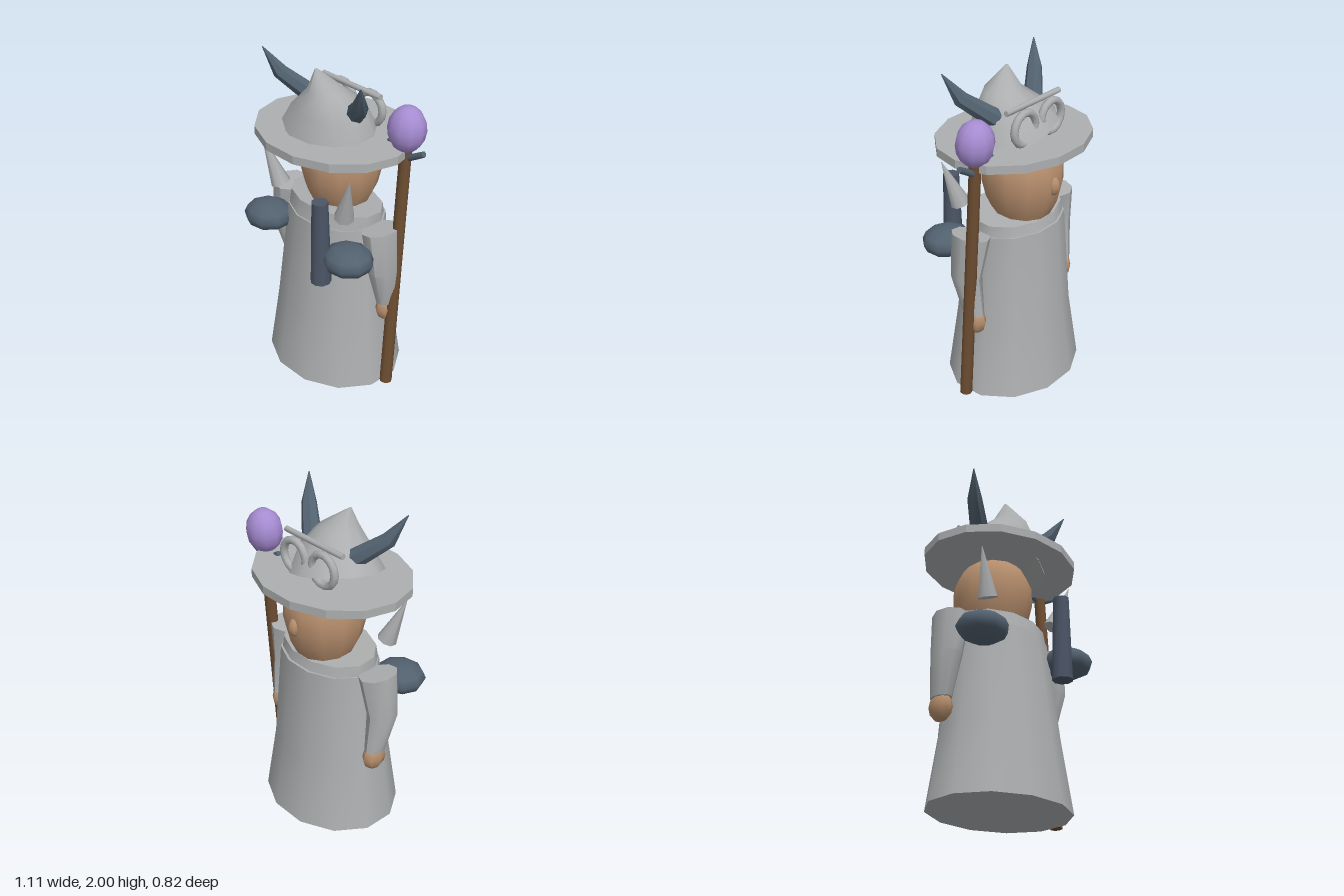
import * as THREE from 'three';
import { toCreasedNormals } from 'three/addons/utils/BufferGeometryUtils.js';

const CX = -0.046; // the figure's own mirror plane

const paint = (name, color) => {
  const m = new THREE.MeshStandardMaterial({ color });
  m.name = name;
  return m;
};

// Skin over elliptical rings { c, rx, rz, n }, closed at both ends.
function loft(rings, sides, crease = 0.8) {
  const pos = [], idx = [];
  const up = new THREE.Vector3(0, 1, 0);
  for (const { c, rx, rz = rx, n = [0, 1, 0] } of rings) {
    const q = new THREE.Quaternion().setFromUnitVectors(up, new THREE.Vector3(...n).normalize());
    for (let i = 0; i < sides; i++) {
      const a = ((i + 0.5) / sides) * Math.PI * 2;
      const p = new THREE.Vector3(rx * Math.sin(a), 0, rz * Math.cos(a)).applyQuaternion(q);
      pos.push(p.x + c[0], p.y + c[1], p.z + c[2]);
    }
  }
  const last = (rings.length - 1) * sides;
  for (let r = 0; r < last; r += sides) {
    for (let i = 0; i < sides; i++) {
      const j = (i + 1) % sides;
      idx.push(r + i, r + j, r + sides + j, r + i, r + sides + j, r + sides + i);
    }
  }
  for (let i = 1; i < sides - 1; i++) {
    idx.push(0, i + 1, i, last, last + i, last + i + 1);
  }
  const g = new THREE.BufferGeometry();
  g.setAttribute('position', new THREE.Float32BufferAttribute(pos, 3));
  g.setIndex(idx);
  return toCreasedNormals(g, crease);
}

// Straight tapered rod between two points.
function rod(a, b, ra, rb, sides) {
  const n = b.map((v, i) => v - a[i]);
  return loft([{ c: a, rx: ra, n }, { c: b, rx: rb, n }], sides, 0.95);
}

export function createModel() {
  const group = new THREE.Group();
  const cloth = paint('grey cloth', 0xacaeaf);
  const skin = paint('skin', 0xb58d6c);
  const slate = paint('slate', 0x52616f);
  const steel = paint('dark steel', 0x4b5566);
  const wood = paint('wood', 0x6e4e32);
  const violet = paint('violet', 0xa68cd2);

  const add = (name, geo, mat, p = [0, 0, 0], s = [1, 1, 1]) => {
    const m = new THREE.Mesh(geo, mat);
    m.name = name;
    m.position.set(...p);
    m.scale.set(...s);
    group.add(m);
    return m;
  };
  const ball = (name, mat, p, s, w = 10, h = 8) =>
    add(name, new THREE.SphereGeometry(1, w, h), mat, p, s);

  // Robe and collar
  add('robe', loft([
    { c: [CX, 0, 0], rx: 0.45, rz: 0.378 },
    { c: [CX, 0.43, 0], rx: 0.385, rz: 0.315 },
    { c: [CX, 1.05, -0.018], rx: 0.33, rz: 0.252 },
  ], 12), cloth);
  add('collar', loft([
    { c: [CX, 1.03, -0.015], rx: 0.327, rz: 0.245 },
    { c: [CX, 1.125, -0.018], rx: 0.322, rz: 0.222, n: [0, 1, -0.08] },
  ], 12), cloth);

  // Head and nose
  const skull = [[1.09, 0.16], [1.13, 0.18], [1.2, 0.212], [1.3, 0.235], [1.42, 0.235], [1.5, 0.195], [1.57, 0.14]];
  add('head', loft(skull.map(([y, r]) => ({ c: [-0.05, y, -0.06], rx: r, rz: r * 1.03 })), 12, 1), skin);
  ball('nose', skin, [-0.05, 1.325, -0.28], [0.038, 0.06, 0.047], 8, 6);

  // Wide brim and leaning crown
  const brim = add('hatBrim', toCreasedNormals(new THREE.CylinderGeometry(1, 1, 0.05, 14), 0.4), cloth,
    [CX, 1.56, 0], [0.42, 1, 0.503]);
  brim.rotation.y = Math.PI / 2;
  add('hatCrown', loft([
    { c: [-0.055, 1.585, 0.02], rx: 0.3, rz: 0.258, n: [0.26, 1, 0.16] },
    { c: [-0.035, 1.73, 0.035], rx: 0.215, rz: 0.195, n: [0.1, 1, 0.08] },
    { c: [-0.027, 1.835, 0.07], rx: 0.117, rz: 0.11, n: [0.05, 1, 0] },
    { c: [-0.09, 1.95, 0.092], rx: 0.008 },
  ], 11), cloth);

  // Goggles resting against the crown
  add('goggleBar', rod([-0.28, 1.8, -0.134], [0.187, 1.8, -0.134], 0.017, 0.017, 8), cloth);
  for (const x of [-0.163, 0.073]) {
    add('goggleRing', new THREE.TorusGeometry(0.092, 0.023, 8, 14), cloth, [x, 1.688, -0.173]);
  }

  // Paired parts, mirrored about the figure's centre
  for (const s of [-1, 1]) {
    const at = (d, y, z) => [CX + s * d, y, z];

    add('horn', loft([
      { c: at(0.17, 1.72, 0.0), rx: 0.06, n: [s * 0.65, 0.6, 0.35] },
      { c: at(0.325, 1.855, 0.115), rx: 0.046, n: [s * 0.55, 0.8, 0.4] },
      { c: at(0.397, 2.0, 0.18), rx: 0.003, n: [s * 0.4, 1, 0.3] },
    ], 7), slate);

    add('shoulderSpike', rod(at(0.274, 1.175, 0.18), at(0.369, 1.455, 0.23), 0.06, 0.002, 8), cloth);

    add('sleeve', loft([
      { c: at(0.417, 0.575, -0.035), rx: 0.052, rz: 0.072 },
      { c: at(0.425, 0.82, 0.01), rx: 0.083, rz: 0.1 },
      { c: at(0.388, 1.075, 0.0), rx: 0.098, rz: 0.125, n: [s * -0.14, 1, 0] },
    ], 9), cloth);

    ball('hand', skin, at(0.415, 0.525, -0.04), [0.055, 0.085, 0.082], 8, 6);

    ball('shoulderPad', slate, at(0.349, 0.945, 0.22), [0.158, 0.088, 0.147], 9, 6);
  }

  // Tube carried at the back
  add('backTube', rod([0.165, 0.77, 0.305], [0.165, 1.3, 0.307], 0.062, 0.048, 9), steel);

  // Staff with orb and two prongs
  add('staff', rod([0.415, 0.002, 0], [0.415, 1.6, -0.108], 0.038, 0.035, 9), wood);
  const orb = ball('staffOrb', violet, [0.415, 1.7, -0.11], [0.113, 0.135, 0.107], 10, 8);
  orb.rotation.x = -0.07;
  for (const s of [-1, 1]) {
    add('staffProng', rod([0.415 + s * 0.02, 1.53, -0.108], [0.415 + s * 0.13, 1.593, -0.11], 0.02, 0.018, 7), slate);
  }

  return group;
}
